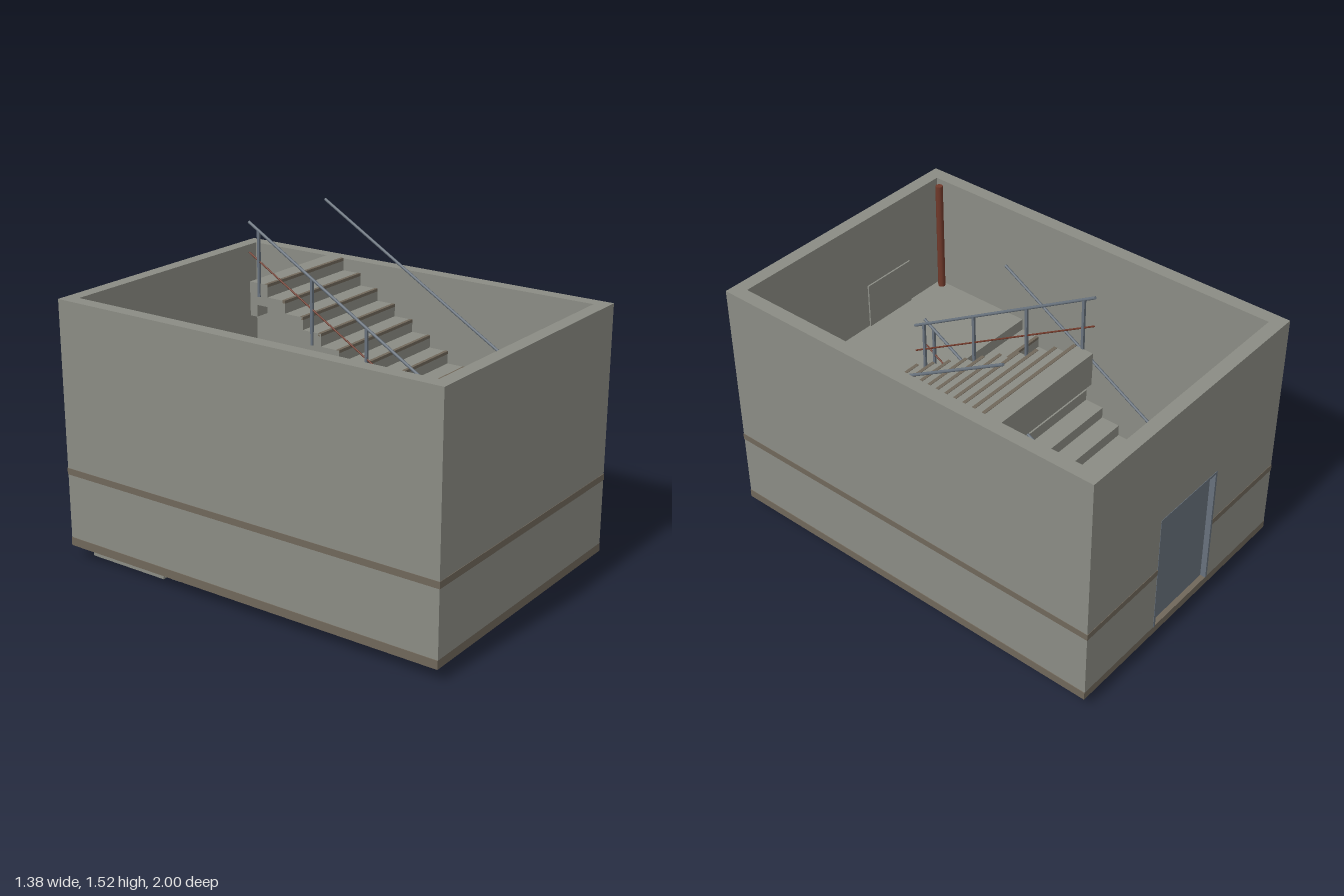
import * as THREE from 'three';

const mat = (name, color) => {
  const m = new THREE.MeshStandardMaterial({ color });
  m.name = name;
  return m;
};

export function createModel() {
  const root = new THREE.Group();
  root.name = 'stairwell';
  const concrete = mat('concrete', 0x8b8c84);
  const brown = mat('dusty brown', 0x70675a);
  const steel = mat('blue steel', 0x67717c);
  const rust = mat('rust', 0x70392a);
  const darkRust = mat('dark rust', 0x4a2c22);

  const add = (name, geo, m, parent = root) => {
    const mesh = new THREE.Mesh(geo, m);
    mesh.name = name;
    parent.add(mesh);
    return mesh;
  };
  // Box given by its lower and upper limits on each axis
  const box = (name, m, x0, x1, y0, y1, z0, z1, parent) => {
    const b = add(name, new THREE.BoxGeometry(x1 - x0, y1 - y0, z1 - z0), m, parent);
    b.position.set((x0 + x1) / 2, (y0 + y1) / 2, (z0 + z1) / 2);
    return b;
  };
  // Round bar between two points
  const bar = (name, m, a, b, r, parent) => {
    const p = new THREE.Vector3(...a), q = new THREE.Vector3(...b);
    const c = add(name, new THREE.CylinderGeometry(r, r, p.distanceTo(q), 8), m, parent);
    c.position.copy(p).add(q).multiplyScalar(0.5);
    c.quaternion.setFromUnitVectors(new THREE.Vector3(0, 1, 0), q.sub(p).normalize());
    return c;
  };

  const W = 0.685, IW = 0.62, IZ = 0.935, TOP = 1.24, BASE = 0.06, MID = 0.65;
  const doorL = -0.21, doorR = 0.2, doorTop = 0.72, floorY = 0.1;

  // Walls
  box('frontWall', concrete, -W, W, floorY, TOP, IZ, 1);
  for (const s of [-1, 1]) {
    const c = s * (W + IW) / 2, h = (W - IW) / 2;
    box('sideWall', concrete, c - h, c + h, floorY, TOP, -IZ, IZ);
  }
  const back = new THREE.Shape([[-W, floorY], [doorL, floorY], [doorL, doorTop], [doorR, doorTop],
    [doorR, floorY], [W, floorY], [W, TOP], [-W, TOP]].map(p => new THREE.Vector2(...p)));
  add('backWall', new THREE.ExtrudeGeometry(back, { depth: 1 - IZ, bevelEnabled: false }), concrete)
    .position.z = -1;

  // Base plinth with the ground floor, and the outer band
  box('plinthFloor', brown, -W - 0.003, W + 0.003, BASE, floorY, -1, 1);
  const e = 0.002;
  for (const s of [-1, 1]) {
    box('sideBand', brown, s * W - e, s * W + e, 0.412, 0.443, -1 - e, 1 + e);
  }
  box('frontBand', brown, -W, W, 0.412, 0.443, 1 - e, 1 + e);
  box('backBandRight', brown, -W, doorL, 0.412, 0.443, -1 - e, -1 + e);
  box('backBandLeft', brown, doorR, W, 0.412, 0.443, -1 - e, -1 + e);

  // Recessed door with its frame
  box('door', steel, doorL, doorR, floorY, doorTop, -0.975, -0.94);
  for (const x of [doorL, doorR - 0.012]) {
    box('doorJamb', steel, x, x + 0.012, floorY, doorTop, -1.002, -0.97);
  }
  box('doorLintel', steel, doorL, doorR, doorTop - 0.012, doorTop, -1.002, -0.97);

  // Landings
  box('groundLanding', concrete, -IW, IW, 0, 0.065, -0.93, -0.5);
  box('middleLanding', concrete, -IW, IW, MID - 0.065, MID, 0.5, IZ);

  // Two flights of ten steps: the first climbs to the front, the second to the back
  const N = 10, rise = (MID - BASE) / N, inner = 0.033;
  const flight = (name, side, dir, y0) => {
    const g = new THREE.Group();
    g.name = name;
    root.add(g);
    const xa = side < 0 ? -IW : inner, xb = side < 0 ? -inner : IW;
    for (let i = 0; i < N; i++) {
      const z = dir * (-0.45 + i * 0.1), y = y0 + (i + 1) * rise;
      box('step', concrete, xa, xb, y - 0.104, y, z - 0.05, z + 0.05, g);
      // Brown nosing on the front edge of the tread
      if (dir < 0 || i === 6 || i === 8) {
        const n = z - dir * 0.043;
        box('nosing', brown, xa, xb, y - 0.012, y + 0.002, n - 0.008, n + 0.008, g);
      }
    }
    // Railing at the well, handrail at the wall
    const yAt = z => y0 + (0.5 + dir * z) * rise * N;
    const xi = side * 0.032, xo = side * 0.61;
    const rail = (label, m, x, h, r) =>
      bar(label, m, [x, yAt(-0.5) + h, -0.5], [x, yAt(0.5) + h, 0.5], r, g);
    rail('topRail', steel, xi, 0.277, 0.007);
    rail('middleRail', rust, xi, 0.137, 0.004);
    rail('wallHandrail', steel, xo, 0.277, 0.007);
    for (const z of [-0.445, -0.148, 0.148, 0.445]) {
      box('railPost', steel, xi - 0.006, xi + 0.006, yAt(z) - 0.03, yAt(z) + 0.277, z - 0.006, z + 0.006, g);
    }
  };
  flight('lowerFlight', -1, 1, BASE);
  flight('upperFlight', 1, -1, MID);
  box('topBeam', concrete, inner, IW, 1.08, TOP - 0.002, -0.499, -0.46);

  // Rusty corner pipe
  bar('cornerPipe', rust, [-0.595, MID, 0.9], [-0.595, 1.22, 0.9], 0.018);

  // Wall cabinet: an open shell with a dark inside
  box('cabinetBack', darkRust, -IW, -0.61, 0.34, 0.61, -0.8, -0.61);
  for (const z of [-0.8, -0.625]) box('cabinetSide', rust, -IW, -0.58, 0.34, 0.61, z, z + 0.015);
  for (const y of [0.34, 0.47, 0.595]) box('cabinetShelf', rust, -IW, -0.58, y, y + 0.015, -0.8, -0.61);

  // Crate with a raised rim
  box('crate', rust, -0.58, -0.475, floorY, 0.2, -0.71, -0.585);
  for (const z of [-0.71, -0.6]) box('crateRim', rust, -0.585, -0.47, 0.195, 0.21, z, z + 0.015);
  for (const x of [-0.585, -0.485]) box('crateRim', rust, x, x + 0.015, 0.195, 0.21, -0.71, -0.585);

  // Tilted board and plates by the back wall
  const board = box('looseBoard', rust, -0.062, -0.03, 0.06, 0.24, -0.91, -0.72);
  board.rotation.y = 0.2;
  box('wallBox', steel, -0.07, 0.06, 0.3, 0.48, -0.94, -0.912);
  box('rustPlate', darkRust, -0.17, -0.07, 0.12, 0.4, -0.94, -0.931);

  // Plate on the front wall and stain on the side wall
  box('frontWallPlate', concrete, -0.4, -0.11, MID, 0.88, 0.927, 0.936);
  const stain = add('stain', new THREE.CylinderGeometry(0.08, 0.08, 0.006, 10), brown);
  stain.position.set(0.619, 0.85, -0.12);
  stain.rotation.z = Math.PI / 2;

  // Rubble on the lower steps: material, x, y, z, width, height, depth, turn
  for (const [m, x, y, z, w, h, d, turn] of [
    [rust, -0.35, 0.13, -0.49, 0.09, 0.05, 0.035, 0],
    [steel, -0.55, 0.14, -0.43, 0.055, 0.04, 0.04, 0.4],
    [concrete, -0.5, 0.195, -0.35, 0.055, 0.035, 0.04, 0.4],
    [rust, -0.11, 0.14, -0.445, 0.055, 0.04, 0.04, 0.4]]) {
    const r = add('rubble', new THREE.BoxGeometry(w, h, d), m);
    r.position.set(x, y, z);
    r.rotation.y = turn;
  }
  return root;
}
